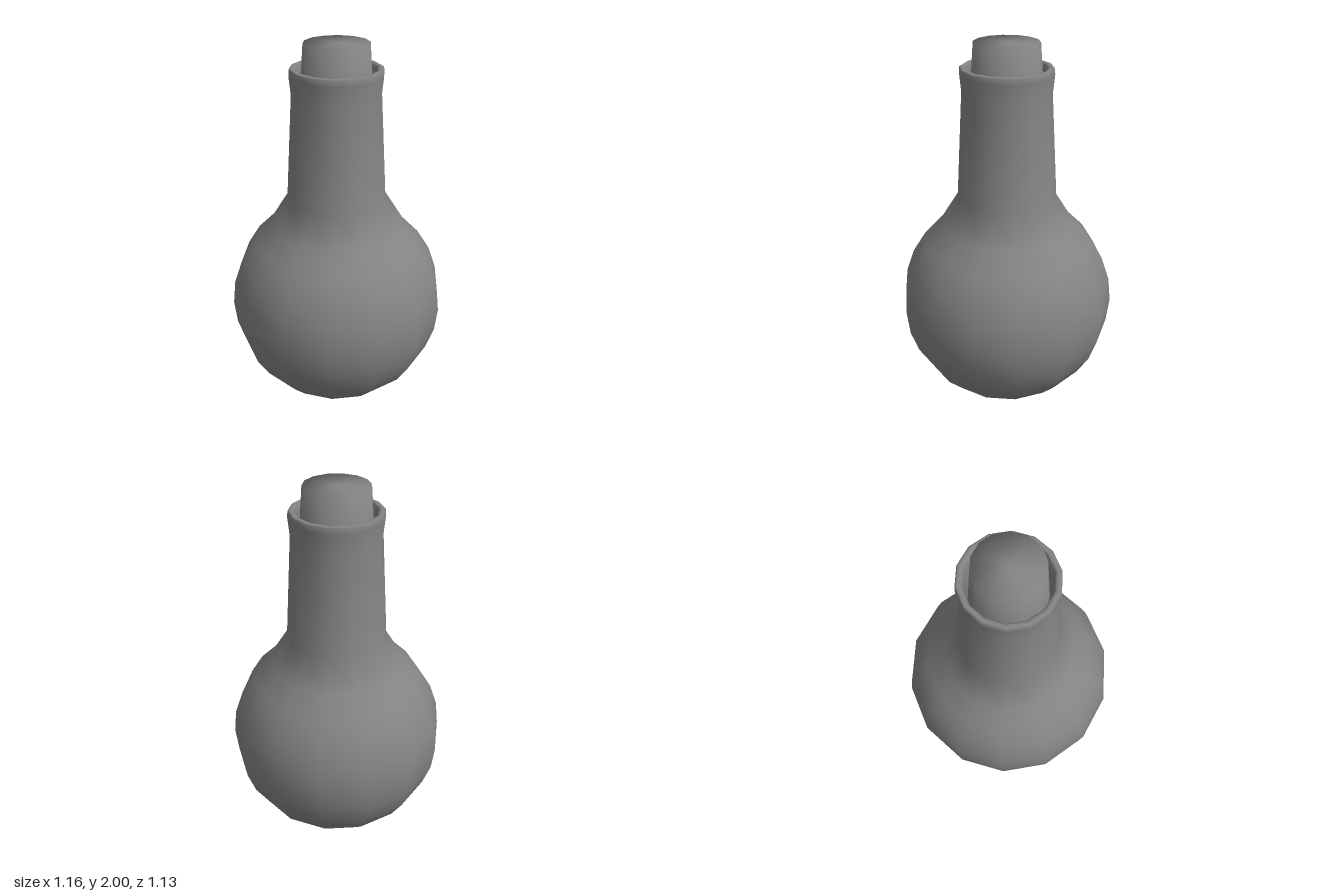
import * as THREE from 'three';

const SIDES = 14;

export function createModel() {
  const group = new THREE.Group();
  const material = new THREE.MeshStandardMaterial({ color: 0x848484, side: THREE.DoubleSide });

  // Smoothly shaded turned part from a profile running bottom to top
  function turned(name, points) {
    const mesh = new THREE.Mesh(new THREE.LatheGeometry(points, SIDES, Math.PI / 2), material);
    mesh.name = name;
    group.add(mesh);
  }
  const toPoints = (pairs) => pairs.map(([r, y]) => new THREE.Vector2(r, y));

  // Round bulb with a small flat base: rings of a sphere up to the shoulder
  const bulb = [[0, 0], [0.135, 0.003]];
  const radius = 0.578, halfHeight = 0.585;
  for (let i = 2; i <= 11; i++) {
    const a = (i / SIDES) * Math.PI;
    bulb.push([radius * Math.sin(a), halfHeight * (1 - Math.cos(a))]);
  }
  // Shoulder, tapering neck, flared rim, then down the inside of the mouth
  const neck = [
    [0.262, 1.2], [0.229, 1.75], [0.238, 1.845], [0.236, 1.875], [0.228, 1.88],
    [0.213, 1.88], [0.205, 1.872], [0.199, 1.84], [0.19, 1.75], [0.195, 1.62],
  ];
  turned('flask', toPoints([...bulb, ...neck]));

  // Stopper: slightly wider towards its hidden lower end, its top blending into its side
  turned('stopper', toPoints([[0.192, 1.65], [0.166, 2], [0, 2]]));

  return group;
}
